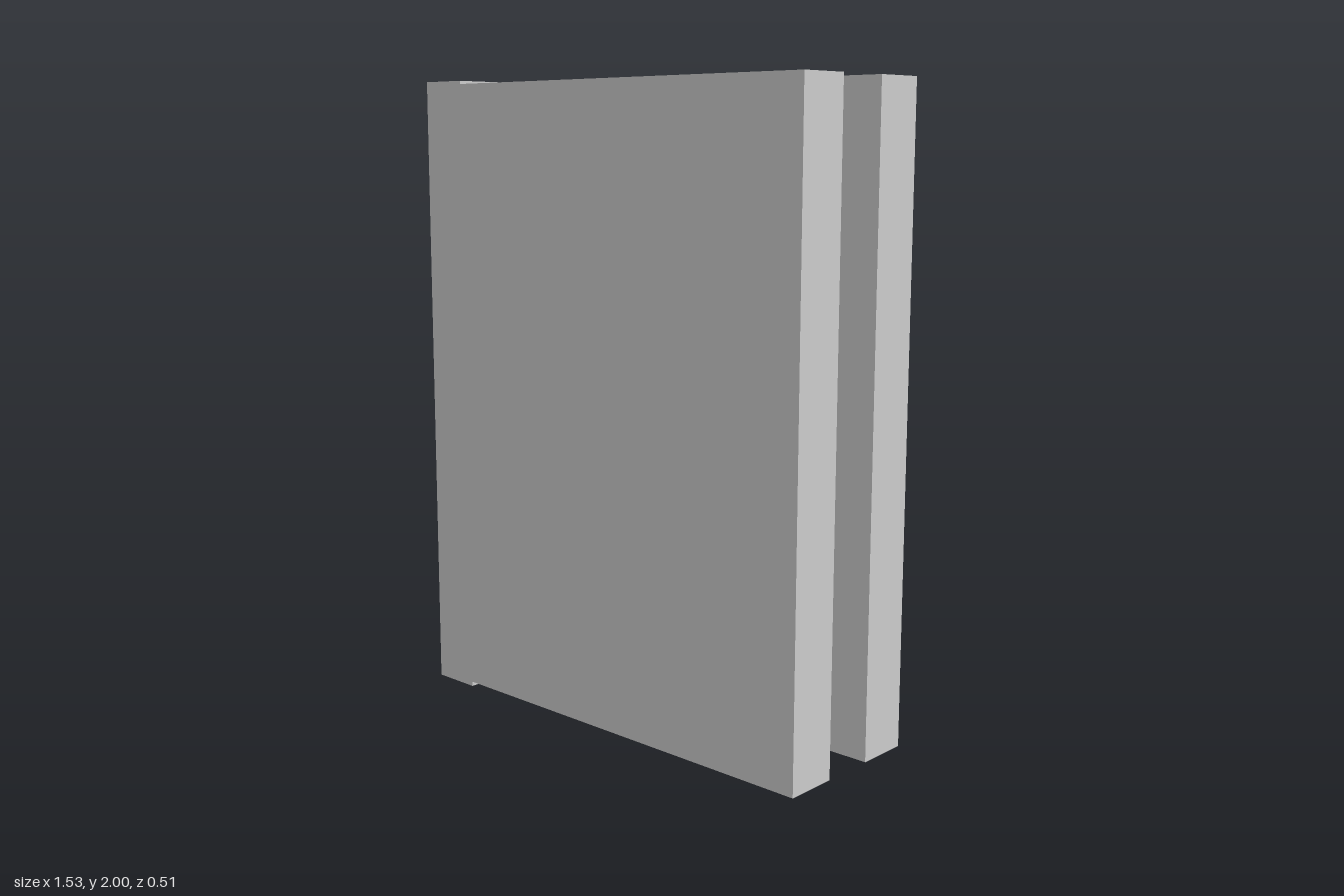
import * as THREE from 'three';

const material = new THREE.MeshStandardMaterial({ color: 0xcccccc, flatShading: true });

// Box given by its minimum and maximum corners
function block(name, min, max) {
  const size = max.map((v, i) => v - min[i]);
  const mesh = new THREE.Mesh(new THREE.BoxGeometry(...size), material);
  mesh.position.set(...max.map((v, i) => (v + min[i]) / 2));
  mesh.name = name;
  return mesh;
}

export function createModel() {
  const book = new THREE.Group();
  book.name = 'book';

  const halfWidth = 0.765, halfDepth = 0.257, halfPages = 0.087;
  const spineInner = -0.6;

  // Spine, slightly taller than the covers
  book.add(block('spine', [-halfWidth, 0, -halfDepth], [spineInner, 2, halfDepth]));

  // Thick front and back covers
  book.add(block('frontCover', [spineInner, 0.015, halfPages], [halfWidth, 1.99, halfDepth]));
  book.add(block('backCover', [spineInner, 0.015, -halfDepth], [halfWidth, 1.99, -halfPages]));

  // Page block, set back from the cover edges
  book.add(block('pages', [spineInner, 0.117, -halfPages], [0.627, 1.89, halfPages]));

  return book;
}
